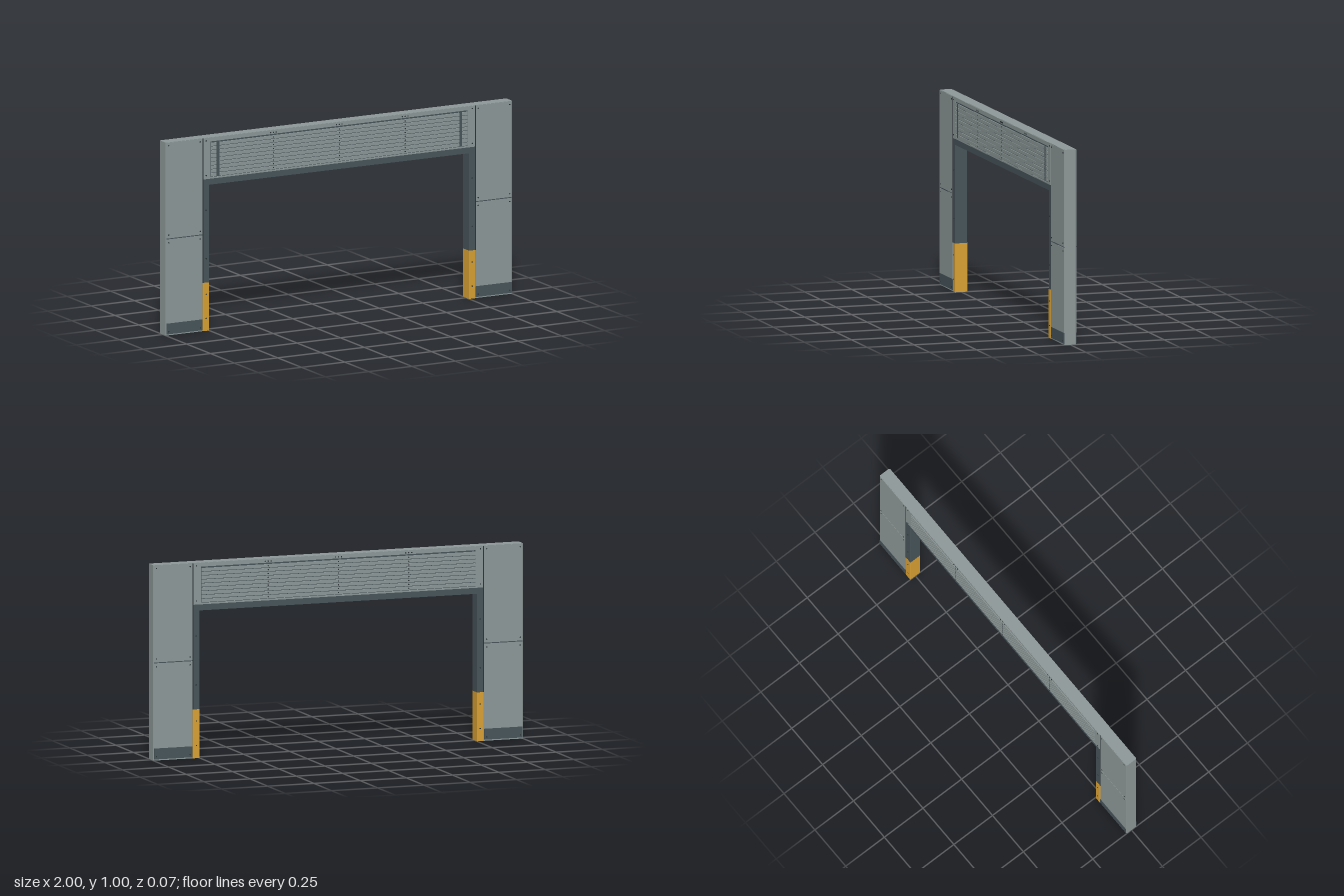
import * as THREE from 'three';

const mat = (color) => new THREE.MeshStandardMaterial({ color });

export function createModel() {
  const root = new THREE.Group();
  root.name = 'gateFrame';
  const grey = mat(0x8d9797), dark = mat(0x47555a), yellow = mat(0xd8a033), black = mat(0x2b3336);

  // Box given by its limits on each axis
  const box = (parent, name, m, x0, x1, y0, y1, z0, z1) => {
    const mesh = new THREE.Mesh(new THREE.BoxGeometry(x1 - x0, y1 - y0, z1 - z0), m);
    mesh.position.set((x0 + x1) / 2, (y0 + y1) / 2, (z0 + z1) / 2);
    mesh.name = name;
    parent.add(mesh);
    return mesh;
  };

  // Bar along y with chamfered vertical edges
  const chamferedBar = (parent, name, m, x0, x1, y0, y1, d, c) => {
    const s = new THREE.Shape([
      [x0 + c, -d], [x1 - c, -d], [x1, c - d], [x1, d - c],
      [x1 - c, d], [x0 + c, d], [x0, d - c], [x0, c - d],
    ].map(([x, y]) => new THREE.Vector2(x, y)));
    const g = new THREE.ExtrudeGeometry(s, { depth: y1 - y0, bevelEnabled: false });
    g.rotateX(-Math.PI / 2).translate(0, y0, 0);
    const mesh = new THREE.Mesh(g, m);
    mesh.name = name;
    parent.add(mesh);
  };

  const boltGeo = new THREE.CylinderGeometry(0.0035, 0.0035, 0.003, 6).rotateX(Math.PI / 2);
  const bolt = (parent, x, y, z) => {
    const mesh = new THREE.Mesh(boltGeo, black);
    mesh.position.set(x, y, z);
    mesh.name = 'bolt';
    parent.add(mesh);
  };

  // Side posts with plates, kick plates and inner jambs
  for (const side of [-1, 1]) {
    const post = new THREE.Group();
    post.name = side > 0 ? 'leftPost' : 'rightPost';
    root.add(post);
    const sx = (name, m, a, b, y0, y1, z0, z1) =>
      box(post, name, m, Math.min(side * a, side * b), Math.max(side * a, side * b), y0, y1, z0, z1);
    const [b0, b1] = side > 0 ? [0.786, 1] : [-1, -0.786];
    chamferedBar(post, 'postCore', grey, b0, b1, 0, 1, 0.031, 0.003);
    const [j0, j1] = side > 0 ? [0.75, 0.786] : [-0.786, -0.75];
    chamferedBar(post, 'jamb', dark, j0, j1, 0.25, 0.77, 0.032, 0.002);
    chamferedBar(post, 'warningGuard', yellow, j0, j1, 0, 0.25, 0.033, 0.002);

    for (const f of [-1, 1]) {
      const zz = (a, b) => (f > 0 ? [a, b] : [-b, -a]);
      sx('lowerPlate', grey, 0.789, 0.996, 0.06, 0.4975, ...zz(0.03, 0.033));
      sx('upperPlate', grey, 0.789, 0.996, 0.5025, 0.998, ...zz(0.03, 0.033));
      sx('plateSeam', dark, 0.789, 0.996, 0.4975, 0.5025, ...zz(0.03, 0.0315));
      sx('kickPlate', dark, 0.789, 0.996, 0.006, 0.062, ...zz(0.03, 0.034));
      sx('jambSeam', black, 0.784, 0.789, 0.25, 0.998, ...zz(0.03, 0.0325));
      for (const x of [0.802, 0.984])
        for (const y of [0.02, 0.48, 0.52, 0.983]) bolt(post, side * x, y, f * 0.034);
      for (const y of [0.065, 0.19, 0.375, 0.625]) bolt(post, side * 0.768, y, f * 0.0335);
    }
  }

  // Header beam and dark lintel below it
  const header = new THREE.Group();
  header.name = 'header';
  root.add(header);
  box(header, 'headerCore', grey, -0.786, 0.786, 0.785, 1, -0.031, 0.031);
  box(header, 'lintel', dark, -0.786, 0.786, 0.755, 0.786, -0.032, 0.032);

  const slats = 9, low = 0.797, pitch = 0.0198;
  for (const f of [-1, 1]) {
    const zz = (a, b) => (f > 0 ? [a, b] : [-b, -a]);
    box(header, 'topRail', grey, -0.783, 0.783, 0.979, 0.999, ...zz(0.03, 0.0335));
    box(header, 'bottomRail', grey, -0.783, 0.783, 0.786, 0.794, ...zz(0.03, 0.0335));
    box(header, 'louverBacking', dark, -0.742, 0.742, 0.794, 0.979, ...zz(0.03, 0.0315));

    // Horizontal louvers with narrow shadow gaps
    for (let i = 0; i < slats; i++) {
      const y = low + i * pitch;
      box(header, 'louver', grey, -0.74, 0.74, y, y + pitch - 0.0035, ...zz(0.03, 0.0355));
      for (const x of [-0.38, 0, 0.38]) bolt(header, x, y + pitch / 2 - 0.002, f * 0.0345);
    }
    // End plates beside the louvers
    for (const s of [-1, 1]) {
      const a = s * 0.742, b = s * 0.783;
      box(header, 'endPlate', grey, Math.min(a, b), Math.max(a, b), 0.794, 0.979, ...zz(0.03, 0.0335));
      for (const y of [0.805, 0.985]) bolt(header, s * 0.768, y, f * 0.034);
    }
    // Bolt clusters on the top rail
    for (const x of [-0.38, 0, 0.38])
      for (const dx of [-0.016, 0, 0.016]) bolt(header, x + dx, 0.987, f * 0.0345);
  }
  // Dark vertical straps across the front louvers
  for (const s of [-1, 1])
    box(header, 'louverStrap', dark, s * 0.7 - 0.008, s * 0.7 + 0.008, 0.797, 0.972, 0.033, 0.0365);

  return root;
}
